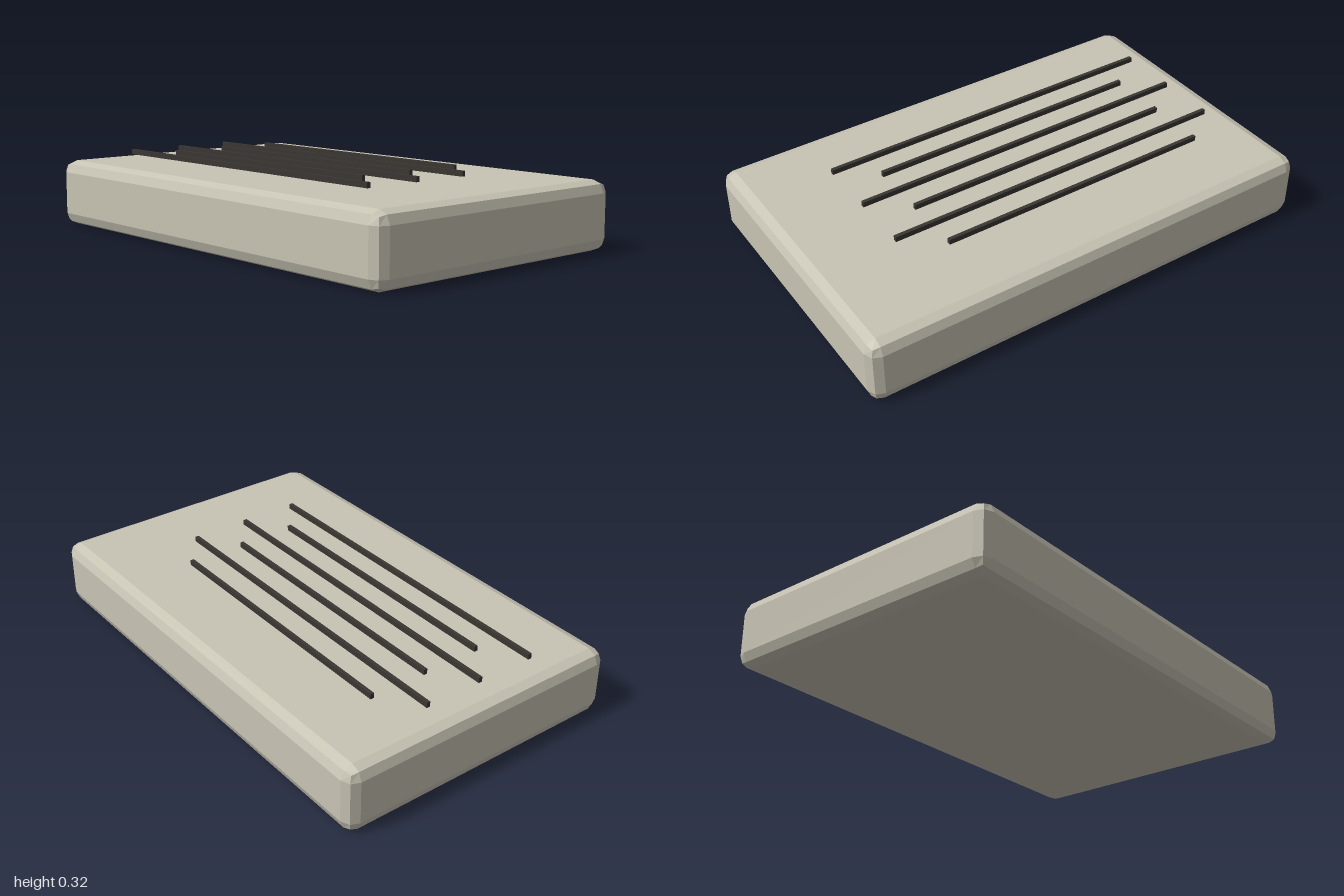
import * as THREE from 'three';
import { RoundedBoxGeometry } from 'three/addons/geometries/RoundedBoxGeometry.js';

const shell = new THREE.MeshStandardMaterial({ name: 'warm grey shell', color: 0xc8c4b4, flatShading: true });
const dark = new THREE.MeshStandardMaterial({ name: 'dark slat', color: 0x3a3632, flatShading: true });

export function createModel() {
  const model = new THREE.Group();
  model.name = 'ventedCase';

  // Slab with two-step bevelled edges
  const height = 0.28;
  const body = new THREE.Mesh(new RoundedBoxGeometry(2, height, 1.25, 1, 0.05), shell);
  body.name = 'body';
  body.position.y = height / 2;
  model.add(body);

  // Six vent slats hovering over the lid, alternating short and long
  const vents = new THREE.Group();
  vents.name = 'vents';
  for (let i = 0; i < 6; i++) {
    const length = i % 2 ? 1.52 : 1.2;
    const slat = new THREE.Mesh(new THREE.BoxGeometry(length, 0.022, 0.016), dark);
    slat.name = `ventSlat${i + 1}`;
    slat.position.set(-0.12, 0.306, -0.302 + i * 0.126);
    vents.add(slat);
  }
  model.add(vents);
  return model;
}
